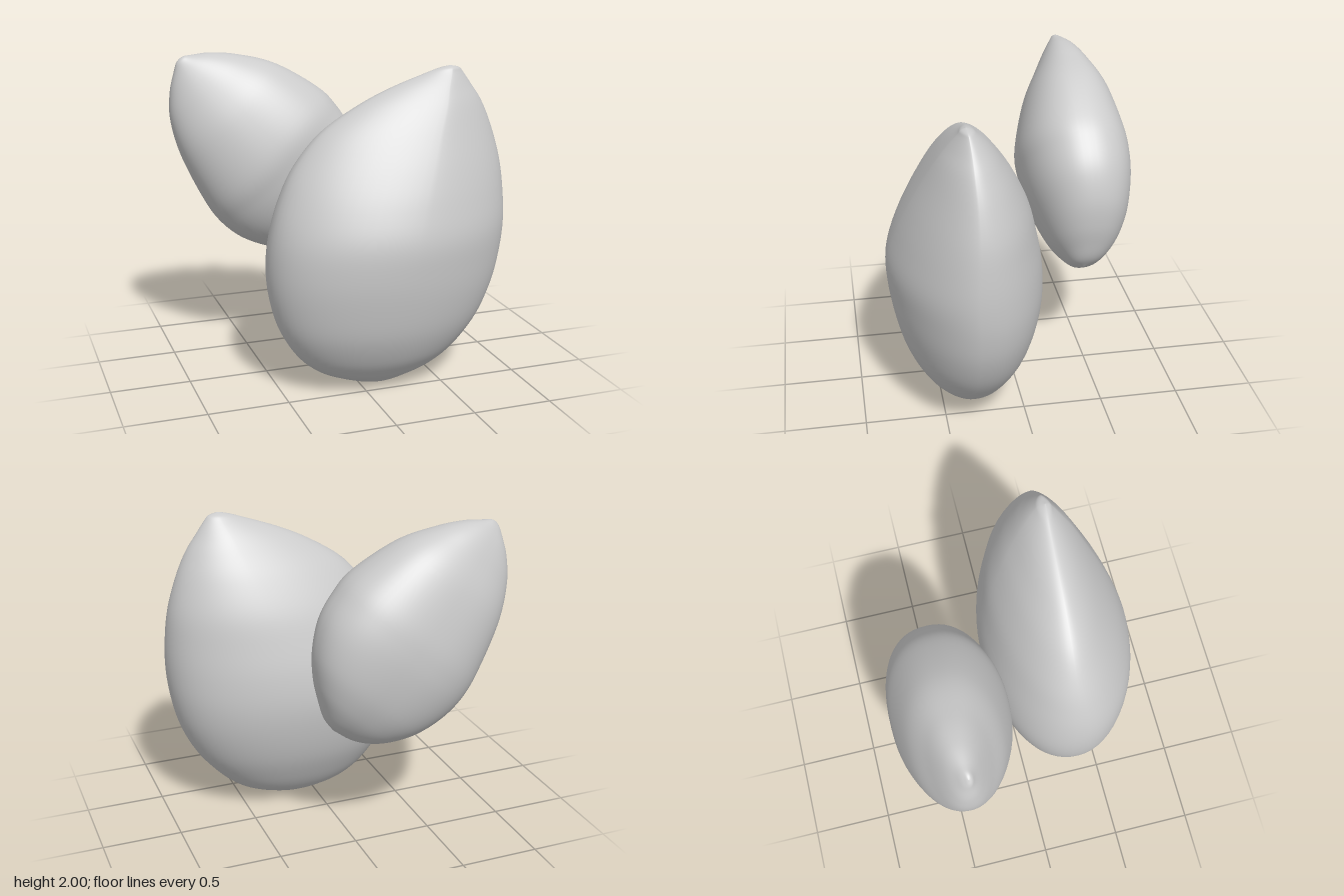
import * as THREE from 'three';

const AROUND = 64, ALONG = 80;

// Lofts a closed nut from rows of [y, xMin, xPeak, xMax, zMin, zMax], bottom to top.
// xPeak is where the section is thickest. Each quarter of the section has its own roundness
// power (2 is an ellipse), which drops by pinch towards the tip.
function nutGeometry(rows, { frontLeft, frontRight, backLeft, backRight, pinch }) {
  const curve = pick => new THREE.CatmullRomCurve3(rows.map(r => new THREE.Vector3(...pick(r))), false, 'catmullrom', 0.5);
  const xs = curve(r => [r[1], r[0], r[3]]);
  const zs = curve(r => [r[4], r[2], r[5]]);
  const bend = (v, power) => Math.sign(v) * Math.pow(Math.abs(v), 2 / power);
  const bottom = rows[0][0], height = rows[rows.length - 1][0] - bottom;
  const pos = [], index = [];
  for (let i = 0; i <= ALONG; i++) {
    const { x: x0, y, z: x1 } = xs.getPoint(i / ALONG);
    const { x: z0, y: peak, z: z1 } = zs.getPoint(i / ALONG);
    const toMax = Math.max(0, x1 - peak), toMin = Math.max(0, peak - x0);
    const cz = (z0 + z1) / 2, hz = Math.max(0, (z1 - z0) / 2);
    const drop = pinch * Math.pow((y - bottom) / height, 2);
    for (let j = 0; j < AROUND; j++) {
      const a = (j / AROUND) * Math.PI * 2;
      const c = Math.cos(a), s = Math.sin(a);
      const power = (s > 0 ? (c > 0 ? frontLeft : frontRight) : (c > 0 ? backLeft : backRight)) - drop;
      pos.push(peak + (c > 0 ? toMax : toMin) * bend(c, power), y, cz + hz * bend(s, power));
    }
  }
  for (let i = 0; i < ALONG; i++) {
    for (let j = 0; j < AROUND; j++) {
      const k = (j + 1) % AROUND;
      const a = i * AROUND + j, b = i * AROUND + k;
      const c = a + AROUND, d = b + AROUND;
      index.push(a, c, b, b, c, d);
    }
  }
  const geo = new THREE.BufferGeometry();
  geo.setAttribute('position', new THREE.Float32BufferAttribute(pos, 3));
  geo.setIndex(index);
  geo.computeVertexNormals();
  return geo;
}

export function createModel() {
  const group = new THREE.Group();
  const material = new THREE.MeshStandardMaterial({ color: 0xcccccc, roughness: 0.8 });

  // Large almond standing in front, its tip leaning to the left
  const large = new THREE.Mesh(nutGeometry([
    [0.00, 0.12, 0.12, 0.12, 0.33, 0.33],
    [0.02, -0.01, 0.12, 0.25, 0.24, 0.43],
    [0.06, -0.15, 0.13, 0.39, 0.17, 0.49],
    [0.12, -0.28, 0.13, 0.53, 0.105, 0.555],
    [0.23, -0.40, 0.14, 0.66, 0.03, 0.64],
    [0.40, -0.50, 0.14, 0.795, -0.055, 0.72],
    [0.60, -0.555, 0.15, 0.89, -0.115, 0.77],
    [0.80, -0.57, 0.16, 0.94, -0.145, 0.80],
    [1.00, -0.55, 0.20, 0.96, -0.135, 0.805],
    [1.20, -0.495, 0.26, 0.955, -0.095, 0.755],
    [1.40, -0.40, 0.34, 0.93, -0.04, 0.68],
    [1.60, -0.235, 0.42, 0.87, 0.05, 0.59],
    [1.75, -0.01, 0.49, 0.80, 0.14, 0.515],
    [1.85, 0.20, 0.53, 0.73, 0.21, 0.455],
    [1.93, 0.42, 0.57, 0.67, 0.28, 0.40],
    [1.96, 0.51, 0.58, 0.64, 0.31, 0.38],
    [1.975, 0.58, 0.58, 0.58, 0.35, 0.35],
  ], { frontLeft: 1.85, frontRight: 2.05, backLeft: 2.2, backRight: 2.2, pinch: 0.45 }), material);
  large.name = 'largeAlmond';
  group.add(large);

  // Small almond behind, tilted, with its origin at the tip
  const small = new THREE.Mesh(nutGeometry([
    [-1.585, -0.03, -0.03, -0.03, 0, 0],
    [-1.56, -0.17, -0.03, 0.07, -0.09, 0.07],
    [-1.50, -0.28, -0.03, 0.17, -0.17, 0.13],
    [-1.41, -0.375, -0.02, 0.29, -0.24, 0.195],
    [-1.28, -0.465, -0.01, 0.41, -0.30, 0.255],
    [-1.11, -0.53, 0, 0.50, -0.34, 0.315],
    [-0.94, -0.545, 0, 0.53, -0.357, 0.345],
    [-0.76, -0.515, 0, 0.52, -0.345, 0.35],
    [-0.46, -0.42, 0, 0.425, -0.28, 0.265],
    [-0.25, -0.31, 0, 0.29, -0.19, 0.16],
    [-0.12, -0.19, 0, 0.175, -0.12, 0.09],
    [-0.04, -0.08, 0, 0.075, -0.055, 0.04],
    [-0.01, -0.035, 0, 0.035, -0.02, 0.02],
    [0, 0, 0, 0, 0, 0],
  ], { frontLeft: 2.15, frontRight: 2.1, backLeft: 2.35, backRight: 2.25, pinch: 0 }), material);
  small.name = 'smallAlmond';
  small.position.set(-0.905, 1.972, -0.45);
  small.rotation.z = 0.735;
  group.add(small);

  return group;
}
